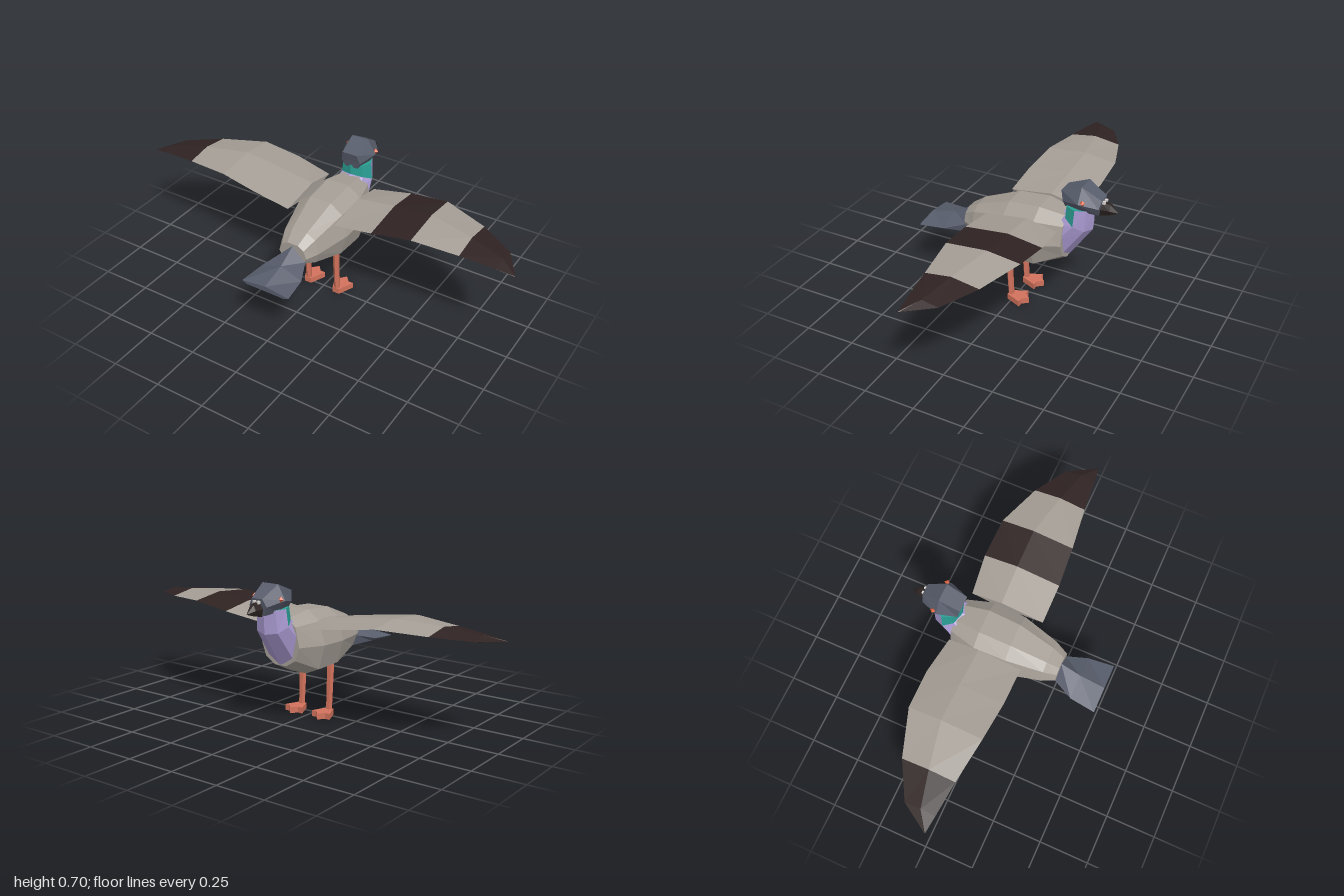
import * as THREE from 'three';

const material = (name, color) => {
  const m = new THREE.MeshStandardMaterial({ color });
  m.name = name;
  return m;
};

// Faceted skin through rings of [x, y, z] points, closed at both ends.
// pick(segment, side) gives the index of the material for a face.
function loft(name, rings, mats, pick = () => 0) {
  const buckets = mats.map(() => []);
  const n = rings[0].length;
  const tri = (k, a, b, c) => buckets[k].push([a, b, c]);
  for (let i = 0; i < rings.length - 1; i++) {
    for (let j = 0; j < n; j++) {
      const a = rings[i], b = rings[i + 1], q = (j + 1) % n, k = pick(i, j);
      tri(k, a[j], b[j], a[q]);
      tri(k, a[q], b[j], b[q]);
    }
  }
  const cap = (ring, k, flip) => {
    const c = [0, 1, 2].map(d => ring.reduce((s, p) => s + p[d], 0) / n);
    ring.forEach((p, j) => {
      const q = ring[(j + 1) % n];
      flip ? tri(k, c, q, p) : tri(k, c, p, q);
    });
  };
  cap(rings[0], pick(0, 0), false);
  cap(rings[rings.length - 1], pick(rings.length - 2, 0), true);

  // Turn all faces outward
  let volume = 0;
  const v = p => new THREE.Vector3(...p);
  buckets.flat().forEach(([a, b, c]) => { volume += v(a).dot(v(b).cross(v(c))); });

  const pos = [];
  const geo = new THREE.BufferGeometry();
  buckets.forEach((tris, k) => {
    const start = pos.length / 3;
    tris.forEach(([a, b, c]) => pos.push(...a, ...(volume < 0 ? c : b), ...(volume < 0 ? b : c)));
    geo.addGroup(start, pos.length / 3 - start, k);
  });
  geo.setAttribute('position', new THREE.Float32BufferAttribute(pos, 3));
  geo.computeVertexNormals();
  const mesh = new THREE.Mesh(geo, mats);
  mesh.name = name;
  return mesh;
}

// Completes a ring from its right half, listed from bottom to top
const mirrorRing = half => [...half, ...half.slice().reverse().map(([x, y, z]) => [-x, y, z])];

export function createModel() {
  const grey = material('grey plumage', 0xa59e96);
  const dark = material('dark feathers', 0x2f2322);
  const slate = material('slate plumage', 0x585d6c);
  const teal = material('teal neck', 0x2a9d92);
  const purple = material('purple breast', 0xa899d0);
  const coral = material('coral legs', 0xd2725c);
  const black = material('dark beak', 0x2c2422);
  const orange = material('orange eye', 0xe0603c);
  const white = material('pale cere', 0xd8d4d0);

  const bird = new THREE.Group();
  bird.name = 'bird';

  // Body: z, heights from belly to back, half width
  const bodyRings = [
    [0.272, 0.31, 0.335, 0.365, 0.405, 0.425, 0.075],
    [0.21, 0.293, 0.312, 0.37, 0.44, 0.465, 0.105],
    [0.03, 0.232, 0.267, 0.38, 0.49, 0.535, 0.15],
    [-0.13, 0.235, 0.267, 0.388, 0.5, 0.548, 0.157],
    [-0.265, 0.297, 0.33, 0.395, 0.49, 0.525, 0.11],
  ].map(([z, bot, low, mid, up, top, w]) => mirrorRing([
    [0.3 * w, bot, z], [0.78 * w, low, z], [w, mid, z], [0.8 * w, up, z], [0.38 * w, top, z],
  ]));
  bird.add(loft('body', bodyRings, [grey]));

  // Tail: z, ridge, edge and underside heights, half width
  const tailRings = [
    [0.2, 0.435, 0.37, 0.29, 0.04],
    [0.27, 0.415, 0.345, 0.296, 0.068],
    [0.37, 0.36, 0.318, 0.302, 0.112],
    [0.5, 0.328, 0.312, 0.3, 0.128],
  ].map(([z, top, mid, bot, w]) => [
    [0, top, z], [w, mid, z], [0.8 * w, bot, z], [-0.8 * w, bot, z], [-w, mid, z],
  ]);
  bird.add(loft('tail', tailRings, [slate]));

  // Neck: back z and y, front z and y, half width; teal on the nape
  const neckRings = [
    [-0.2, 0.52, -0.268, 0.3, 0.1],
    [-0.243, 0.535, -0.38, 0.465, 0.085],
    [-0.245, 0.585, -0.386, 0.582, 0.075],
  ].map(([zb, yb, zf, yf, w]) => Array.from({ length: 8 }, (_, j) => {
    const a = j * Math.PI / 4, t = (1 - Math.sin(a)) / 2;
    return [w * Math.cos(a), yb + (yf - yb) * t, zb + (zf - zb) * t];
  }));
  bird.add(loft('neck', neckRings, [purple, teal], (i, j) => (i === 1 && j < 4 ? 1 : 0)));

  // Head
  const headRings = [
    [[0.033, 0.572, -0.25], [0.052, 0.605, -0.245], [0.04, 0.655, -0.232]],
    [[0.05, 0.572, -0.335], [0.086, 0.626, -0.335], [0.045, 0.697, -0.335]],
    [[0.03, 0.562, -0.415], [0.05, 0.605, -0.423], [0.03, 0.642, -0.43]],
  ].map(mirrorRing);
  bird.add(loft('head', headRings, [slate]));

  // Beak
  const beakRings = [
    [-0.41, 0.555, 0.63, 0.028],
    [-0.465, 0.568, 0.618, 0.022],
    [-0.499, 0.579, 0.585, 0.003],
  ].map(([z, bot, top, w]) => mirrorRing([
    [0.5 * w, bot, z], [w, (bot + top) / 2, z], [0.4 * w, top, z],
  ]));
  bird.add(loft('beak', beakRings, [black]));

  // Foot outline with three short toes pointing forward (shape y is -z)
  const foot = new THREE.Shape([
    [-0.018, -0.02], [0.018, -0.02], [0.052, 0.06], [0.026, 0.06],
    [0, 0.09], [-0.026, 0.06], [-0.052, 0.06],
  ].map(p => new THREE.Vector2(...p)));
  const footGeo = new THREE.ExtrudeGeometry(foot, { depth: 0.03, bevelEnabled: false });
  footGeo.rotateX(-Math.PI / 2);
  const legGeo = new THREE.CylinderGeometry(0.018, 0.015, 0.24, 5).toNonIndexed();
  legGeo.computeVertexNormals();

  // Wing: x, leading z, trailing z, ridge z, edge y, top y, bottom y
  const wingProfile = [
    [0.13, -0.255, 0.115, -0.1, 0.485, 0.515, 0.457],
    [0.325, -0.277, 0.115, -0.105, 0.515, 0.54, 0.498],
    [0.52, -0.27, 0.1, -0.105, 0.542, 0.562, 0.533],
    [0.745, -0.195, 0.07, -0.06, 0.527, 0.547, 0.519],
    [0.915, -0.1, 0.052, -0.02, 0.511, 0.525, 0.505],
    [1, 0.036, 0.042, 0.039, 0.499, 0.501, 0.497],
  ];

  for (const [s, side] of [[1, 'left'], [-1, 'right']]) {
    const rings = wingProfile.map(([x, zl, zt, zr, y, top, bot]) => [
      [s * x, y, zl], [s * x, top, zr], [s * x, y, zt], [s * x, bot, zr],
    ]);
    // Dark tip all round; dark band above on one wing, below on the other
    const isDark = (i, j) => i >= 3 || (i === 1 && (j < 2) === (s > 0));
    bird.add(loft(side + 'Wing', rings, [grey, dark], (i, j) => (isDark(i, j) ? 1 : 0)));

    const leg = new THREE.Mesh(legGeo, coral);
    leg.name = side + 'Leg';
    leg.position.set(s * 0.083, 0.145, 0.014);
    leg.rotation.x = 0.055;
    const footMesh = new THREE.Mesh(footGeo, coral);
    footMesh.name = side + 'Foot';
    footMesh.position.x = s * 0.083;

    const eye = new THREE.Mesh(new THREE.OctahedronGeometry(0.014), orange);
    eye.name = side + 'Eye';
    eye.position.set(s * 0.077, 0.634, -0.354);

    const cere = new THREE.Mesh(new THREE.BoxGeometry(0.012, 0.014, 0.018), white);
    cere.name = side + 'Cere';
    cere.position.set(s * 0.012, 0.626, -0.432);
    bird.add(leg, footMesh, eye, cere);
  }
  return bird;
}
